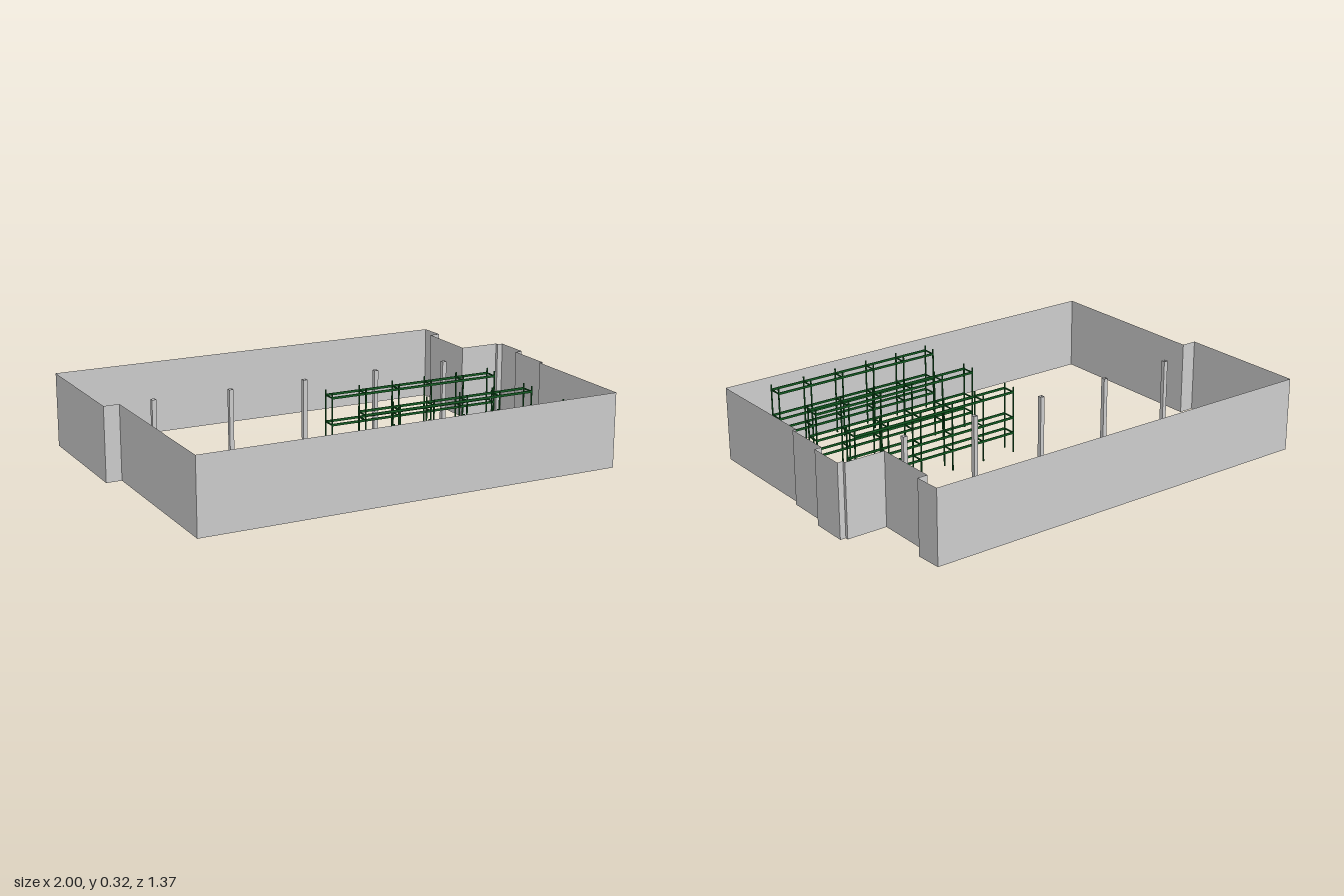
import * as THREE from 'three';

const WALL_H = 0.325;
const grey = new THREE.MeshStandardMaterial({ color: 0xcccccc, flatShading: true, side: THREE.DoubleSide });
const green = new THREE.MeshStandardMaterial({ color: 0x0f5a20 });

// Floor outline of the hall as [x, z], anticlockwise seen from above
const OUTLINE = [
  [-0.932, 0.685], [0.952, 0.685], [0.952, 0.121], [0.968, 0.121], [0.968, -0.095],
  [1, -0.095], [1, -0.257], [0.975, -0.257], [0.975, -0.271], [0.795, -0.271],
  [0.795, -0.557], [0.84, -0.557], [0.835, -0.672], [-1, -0.685], [-1, -0.095], [-0.932, -0.095],
];

// Thin upright wall sheet running all round the outline
function makeWalls() {
  const pos = [];
  OUTLINE.forEach(([x0, z0], i) => {
    const [x1, z1] = OUTLINE[(i + 1) % OUTLINE.length];
    pos.push(x0, 0, z0, x1, 0, z1, x1, WALL_H, z1, x0, 0, z0, x1, WALL_H, z1, x0, WALL_H, z0);
  });
  const geo = new THREE.BufferGeometry();
  geo.setAttribute('position', new THREE.Float32BufferAttribute(pos, 3));
  geo.computeVertexNormals();
  const walls = new THREE.Mesh(geo, grey);
  walls.name = 'outerWalls';
  return walls;
}

// Row of square, open-ended columns
function makeColumns() {
  const group = new THREE.Group();
  group.name = 'columns';
  const h = 0.307;
  const geo = new THREE.CylinderGeometry(0.0134, 0.0134, h, 4, 1, true).rotateY(Math.PI / 4);
  for (let i = 0; i < 5; i++) {
    const column = new THREE.Mesh(geo, grey);
    column.name = 'column';
    column.position.set(-0.76 + i * 0.347, h / 2, -0.16);
    group.add(column);
  }
  return group;
}

function bar(parent, name, size, x, y, z) {
  const mesh = new THREE.Mesh(new THREE.BoxGeometry(...size), green);
  mesh.name = name;
  mesh.position.set(x, y, z);
  parent.add(mesh);
}

// Storage rack: five bays, two lines of posts, three beam levels with cross ties
function makeRack(zCentre) {
  const rack = new THREE.Group();
  rack.name = 'storageRack';
  const bays = 5, bay = 0.16, depth = 0.06, postH = 0.3, x0 = -0.05;
  const levels = [0.09, 0.16, 0.277];
  for (let i = 0; i <= bays; i++) {
    const x = x0 + i * bay;
    for (const s of [-1, 1]) bar(rack, 'post', [0.005, postH, 0.005], x, postH / 2, s * depth / 2);
    for (const y of levels) bar(rack, 'crossTie', [0.004, 0.006, depth], x, y, 0);
  }
  for (const y of levels) {
    for (const s of [-1, 1]) {
      bar(rack, 'beam', [bays * bay, 0.01, 0.004], x0 + bays * bay / 2, y, s * depth / 2);
    }
  }
  rack.position.z = zCentre;
  return rack;
}

export function createModel() {
  const model = new THREE.Group();
  model.name = 'storageHall';
  model.add(makeWalls(), makeColumns());
  for (const z of [0.04, 0.333, 0.628]) model.add(makeRack(z));
  return model;
}
